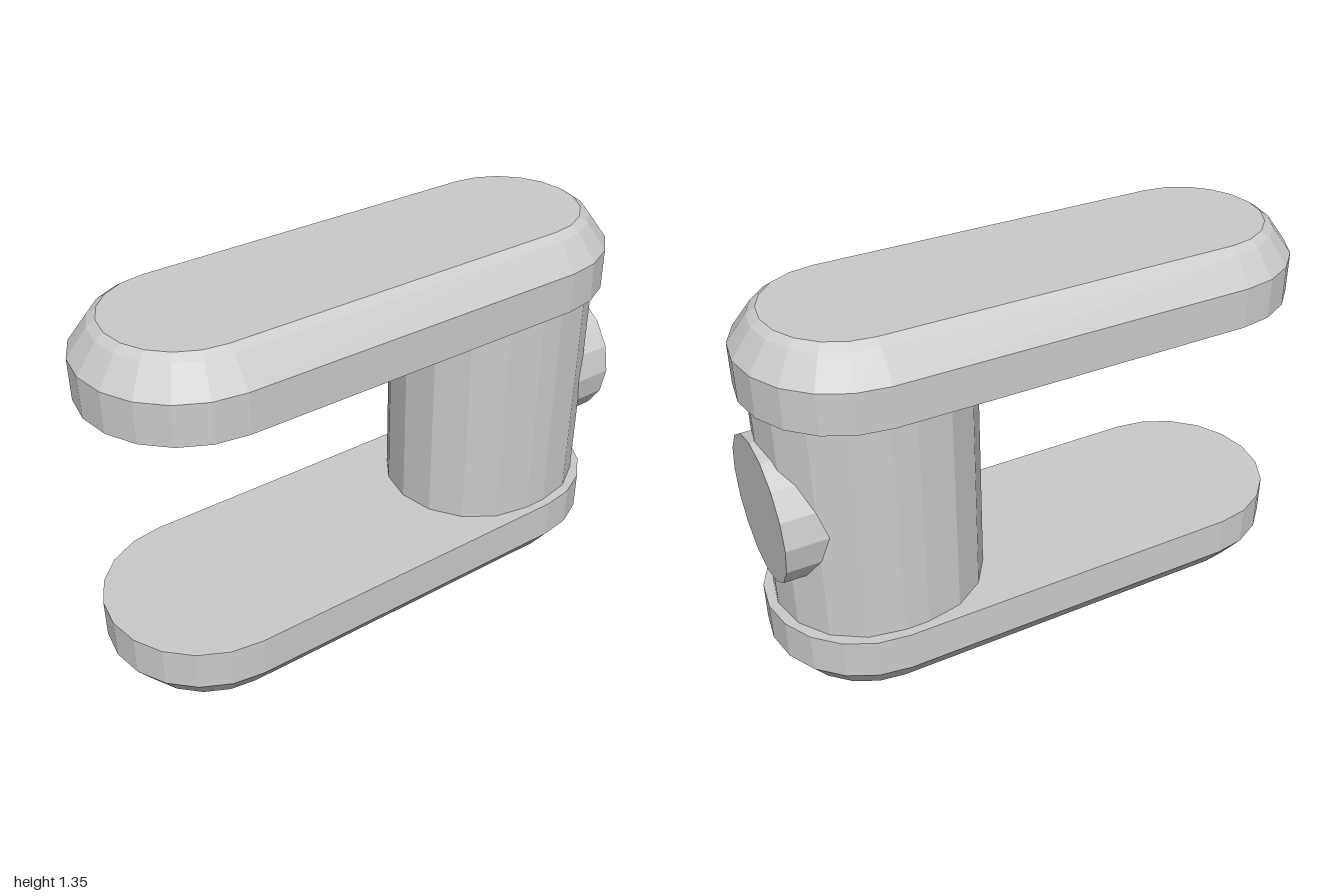
import * as THREE from 'three';

const material = new THREE.MeshStandardMaterial({ color: 0xcccccc, flatShading: true });

// Outline of a slot shape in xz, running anticlockwise seen from above
function slotOutline(radius, back, front, segments) {
  const points = [];
  for (const [z, start] of [[front, -Math.PI / 2], [back, Math.PI / 2]]) {
    for (let i = 0; i <= segments; i++) {
      const a = start + (i / segments) * Math.PI;
      points.push([radius * Math.sin(a), z + radius * Math.cos(a)]);
    }
  }
  return points;
}

// Solid slot shape lofted through [inset, y] levels, from bottom to top
function slotSolid(name, radius, back, front, segments, levels) {
  const positions = [];
  const rings = levels.map(([inset, y]) =>
    slotOutline(radius - inset, back, front, segments).map(([x, z]) => [x, y, z]));
  const n = rings[0].length;
  const tri = (a, b, c) => positions.push(...a, ...b, ...c);
  for (let r = 0; r < rings.length - 1; r++) {
    for (let i = 0; i < n; i++) {
      const j = (i + 1) % n;
      tri(rings[r][i], rings[r][j], rings[r + 1][j]);
      tri(rings[r][i], rings[r + 1][j], rings[r + 1][i]);
    }
  }
  const bottom = rings[0];
  const top = rings[rings.length - 1];
  const mid = (back + front) / 2;
  for (let i = 0; i < n; i++) {
    const j = (i + 1) % n;
    tri([0, top[0][1], mid], top[i], top[j]);
    tri([0, bottom[0][1], mid], bottom[j], bottom[i]);
  }
  const geometry = new THREE.BufferGeometry();
  geometry.setAttribute('position', new THREE.Float32BufferAttribute(positions, 3));
  geometry.computeVertexNormals();
  const mesh = new THREE.Mesh(geometry, material);
  mesh.name = name;
  return mesh;
}

export function createModel() {
  const group = new THREE.Group();
  group.name = 'clampBracket';
  const height = 1.345;

  // Two long plates with bevelled outer edges, mirrored top to bottom
  const plateLevels = [[0.1, 0], [0.07, 0.02], [0, 0.115], [0, 0.26]];
  const mirrored = plateLevels.map(([inset, y]) => [inset, height - y]).reverse();
  group.add(slotSolid('lowerPlate', 0.365, -0.635, 0.635, 10, plateLevels));
  group.add(slotSolid('upperPlate', 0.365, -0.635, 0.635, 10, mirrored));

  // Post joining the plates at the back
  group.add(slotSolid('post', 0.332, -0.635, -0.552, 8, [[0, 0.25], [0, height - 0.25]]));

  // Round knob set into the back of the post
  const knob = new THREE.Mesh(new THREE.CylinderGeometry(0.255, 0.255, 0.4, 16), material);
  knob.name = 'knob';
  knob.rotation.x = Math.PI / 2;
  knob.position.set(0, height / 2, -0.785);
  group.add(knob);

  return group;
}
